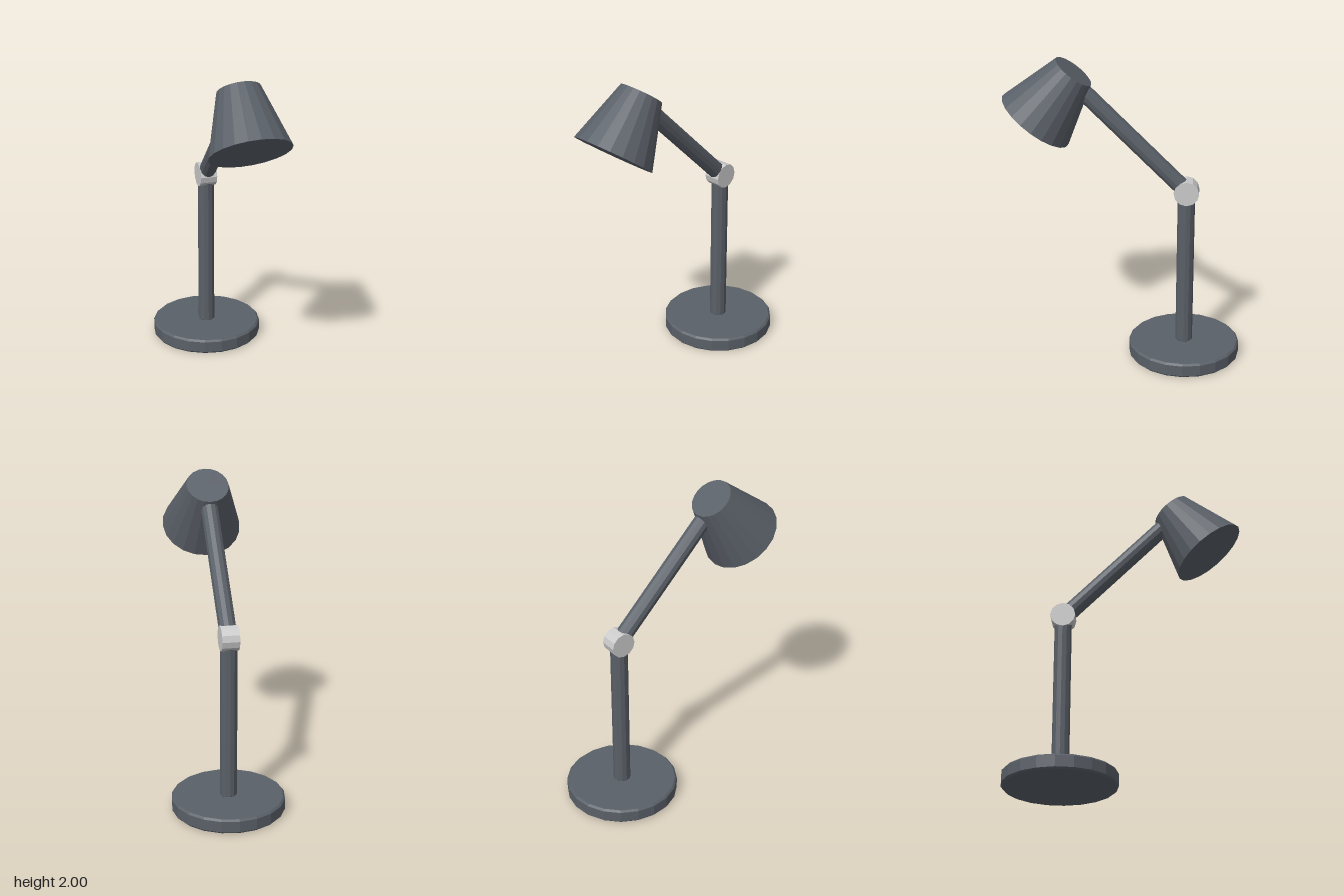
import * as THREE from 'three';

const dark = new THREE.MeshStandardMaterial({ color: 0x5a6068, flatShading: true });
const grey = new THREE.MeshStandardMaterial({ color: 0xcccccc, flatShading: true });

const stemZ = -0.395;
const elbowY = 1.145;

// Faceted disc or rod standing on its origin, with chamfered rims
function bevelledRod(name, radius, height, bevel, sides) {
  const profile = [
    [0, 0], [radius - bevel, 0], [radius, bevel],
    [radius, height - bevel], [radius - bevel, height], [0, height],
  ].map(([x, y]) => new THREE.Vector2(x, y));
  const mesh = new THREE.Mesh(new THREE.LatheGeometry(profile, sides), dark);
  mesh.name = name;
  return mesh;
}

export function createModel() {
  const lamp = new THREE.Group();
  lamp.name = 'deskLamp';

  // Round foot
  const base = bevelledRod('base', 0.36, 0.095, 0.012, 20);
  base.position.set(0, 0, stemZ);

  // Upright post
  const post = bevelledRod('post', 0.055, elbowY - 0.09, 0.008, 12);
  post.position.set(0, 0.09, stemZ);

  // Elbow joint lying across the post
  const elbow = new THREE.Mesh(new THREE.CylinderGeometry(0.08, 0.08, 0.11, 12), grey);
  elbow.name = 'elbowJoint';
  elbow.rotation.z = Math.PI / 2;
  elbow.position.set(0, elbowY, stemZ);

  // Arm leaning forward into the shade
  const arm = bevelledRod('arm', 0.055, 1.02, 0.008, 12);
  arm.rotation.x = Math.PI / 4;
  arm.position.set(0, elbowY, stemZ);

  // Tilted conical shade
  const shade = new THREE.Mesh(new THREE.CylinderGeometry(0.135, 0.255, 0.4, 20), dark);
  shade.name = 'shade';
  shade.rotation.x = THREE.MathUtils.degToRad(-37);
  shade.position.set(0, 1.76, 0.43);

  lamp.add(base, post, elbow, arm, shade);
  return lamp;
}
